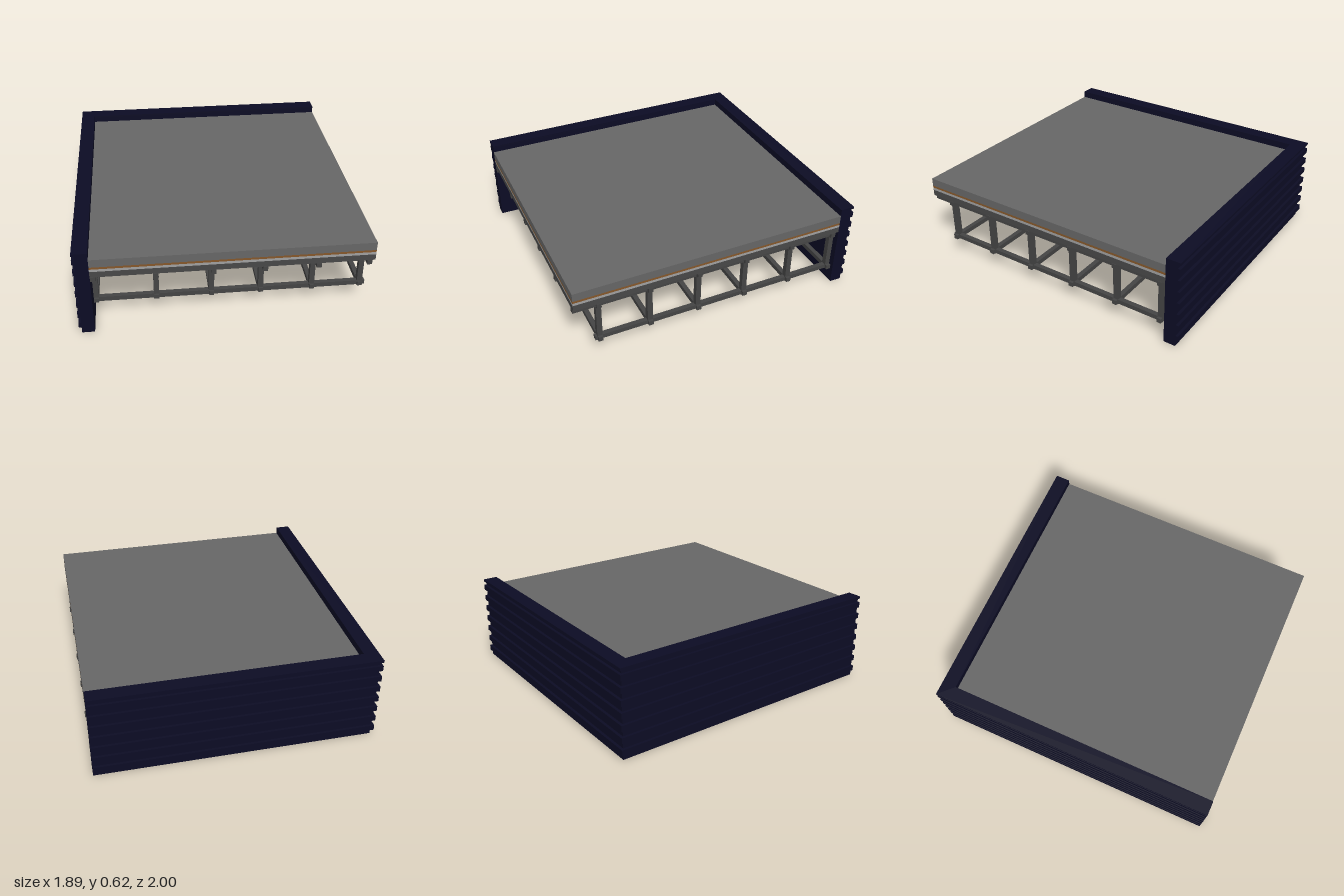
import * as THREE from 'three';

const mat = (name, color) => {
  const m = new THREE.MeshStandardMaterial({ color });
  m.name = name;
  return m;
};

export function createModel() {
  const navy = mat('navy cladding', 0x0c0c24);
  const concrete = mat('concrete grey', 0x666666);
  const steel = mat('dark steel', 0x444444);
  const deckGrey = mat('deck grey', 0x484848);
  const brown = mat('brown board', 0x85572a);
  const pale = mat('pale insulation', 0xa0a0a0);

  const X = 0.947; // half width
  const model = new THREE.Group();
  model.name = 'roofCorner';

  const group = (name) => {
    const g = new THREE.Group();
    g.name = name;
    model.add(g);
    return g;
  };
  // Box given by its limits on each axis
  const box = (parent, name, m, x0, x1, y0, y1, z0, z1) => {
    const mesh = new THREE.Mesh(new THREE.BoxGeometry(x1 - x0, y1 - y0, z1 - z0), m);
    mesh.position.set((x0 + x1) / 2, (y0 + y1) / 2, (z0 + z1) / 2);
    mesh.name = name;
    parent.add(mesh);
  };
  // L-shaped band along the right and back sides, between two insets
  const band = (parent, name, m, outer, inner, y0, y1) => {
    const s = new THREE.Shape([
      [-X + outer, -1], [-X + outer, 1 - outer], [X, 1 - outer],
      [X, 1 - inner], [-X + inner, 1 - inner], [-X + inner, -1],
    ].map(([x, y]) => new THREE.Vector2(x, y)));
    const g = new THREE.ExtrudeGeometry(s, { depth: y1 - y0, bevelEnabled: false });
    g.rotateX(-Math.PI / 2);
    g.translate(0, y0, 0);
    const mesh = new THREE.Mesh(g, m);
    mesh.name = name;
    parent.add(mesh);
  };

  // Parapet walls with ribbed outer cladding and a cap
  const walls = group('parapetWalls');
  band(walls, 'wallCore', navy, 0.018, 0.1, 0, 0.6);
  band(walls, 'wallCap', navy, 0, 0.1, 0.6, 0.615);
  for (let i = 0; i < 7; i++) {
    const y = 0.06 + i * 0.0822;
    band(walls, 'claddingRib', navy, 0, 0.03, y - 0.019, y + 0.019);
  }

  // Roof build-up, from the top down
  const roof = group('roofLayers');
  const xi = -X + 0.1, zi = -0.9;
  box(roof, 'roofSlab', concrete, xi, X, 0.51, 0.566, zi, 1);
  box(roof, 'boardLayer', brown, xi, X, 0.495, 0.51, zi, 1);
  box(roof, 'insulationLayer', pale, xi, X, 0.477, 0.495, zi, 1);
  box(roof, 'roofDeck', deckGrey, xi, X, 0.435, 0.477, zi, 1);

  // Space frame: posts at every crossing, chords both ways
  const frame = group('spaceFrame');
  const xs = [-0.83, -0.44, -0.08, 0.245, 0.587, 0.912];
  const zs = [0.835, 0.492, 0.15, -0.192, -0.535, -0.862];
  const h = 0.016;
  for (const z of zs) {
    box(frame, 'bottomCrossChord', steel, xi, X, 0.126, 0.158, z - h, z + h);
    box(frame, 'topCrossChord', steel, xi, X, 0.4, 0.432, z - h, z + h);
    for (const x of xs) {
      box(frame, 'post', steel, x - 0.0175, x + 0.0175, 0.124, 0.435, z - 0.0175, z + 0.0175);
    }
  }
  for (const x of xs) {
    box(frame, 'bottomLongChord', steel, x - h, x + h, 0.127, 0.157, -0.88, 0.866);
    box(frame, 'topLongChord', steel, x - h, x + h, 0.401, 0.433, -0.88, 1);
  }
  return model;
}
